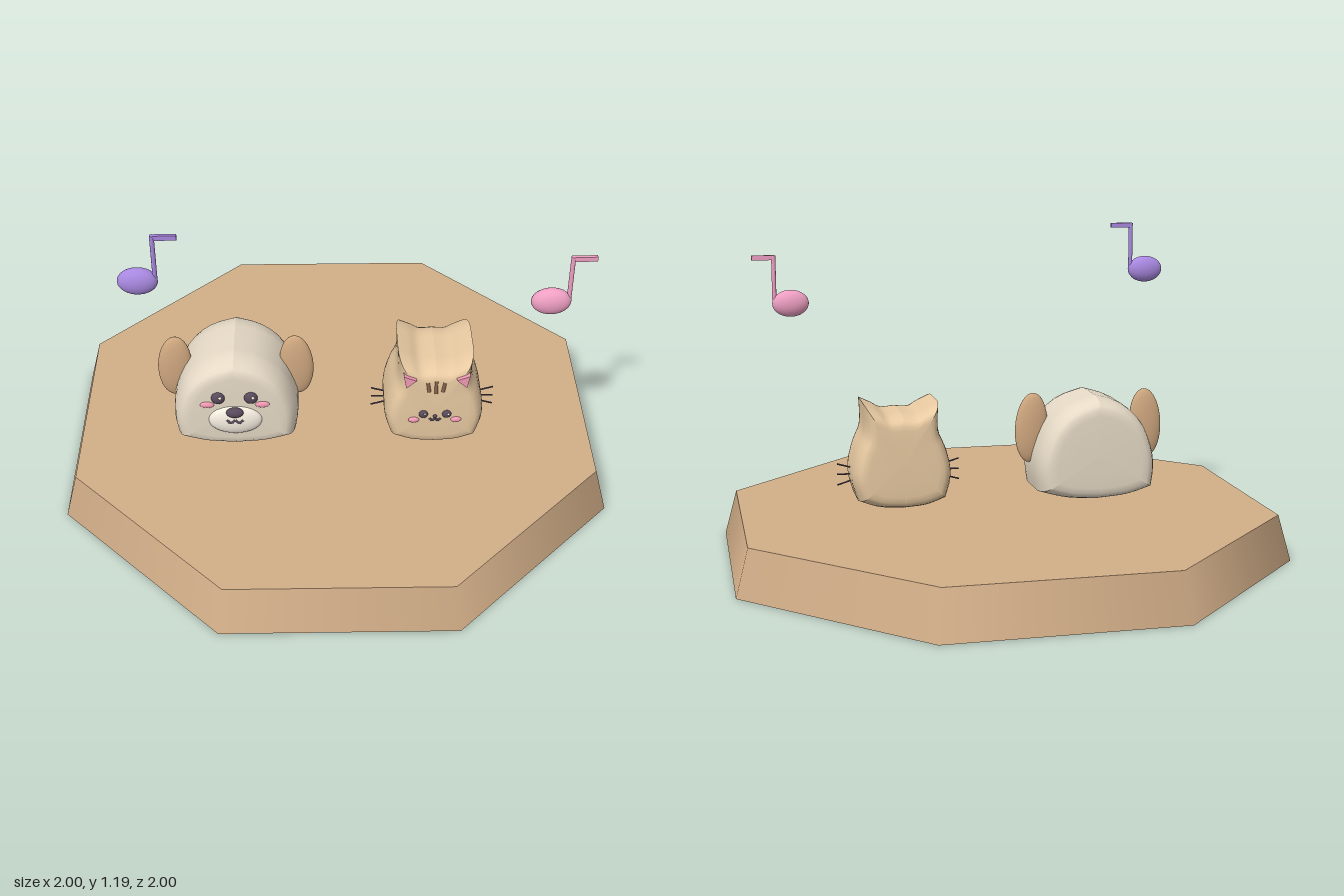
import * as THREE from 'three';

const mat = (color) => new THREE.MeshStandardMaterial({ color, side: THREE.DoubleSide });
const M = {
  wood: mat(0xd2ae88), cream: mat(0xe6dac6), tan: mat(0xd0a880), ginger: mat(0xe8caa2),
  brown: mat(0x8a6248), dark: mat(0x594a5c), white: mat(0xf7efe2),
  blush: mat(0xf29ab4), violet: mat(0xa888e0), pink: mat(0xf0a0c4),
};

function add(parent, name, geometry, material, x = 0, y = 0, z = 0) {
  const mesh = new THREE.Mesh(geometry, material);
  mesh.name = name;
  mesh.position.set(x, y, z);
  parent.add(mesh);
  return mesh;
}

function ellipsoid(parent, name, material, [x, y, z], [rx, ry, rz]) {
  const mesh = add(parent, name, new THREE.SphereGeometry(1, 28, 18), material, x, y, z);
  mesh.scale.set(rx, ry, rz);
  return mesh;
}

function tube(parent, name, material, points, radius) {
  const curve = new THREE.CatmullRomCurve3(points.map((p) => new THREE.Vector3(...p)));
  return add(parent, name, new THREE.TubeGeometry(curve, points.length * 4, radius, 8), material);
}

// Pillow body: an outline swept through depth, shrinking to a rounded front and back.
// The right half is a list of smooth runs, separated by sharp corners.
function pillow(runs, centreY, halfDepth) {
  const smooth = runs.map((run) =>
    run.length === 2
      ? run.map((p) => new THREE.Vector2(...p))
      : new THREE.SplineCurve(run.map((p) => new THREE.Vector2(...p))).getPoints(14));
  const mirrored = smooth.map((run) => run.map((p) => new THREE.Vector2(-p.x, p.y)).reverse()).reverse();
  const front = [[0.4, 1], [0.55, 0.99], [0.7, 0.965], [0.83, 0.925], [0.92, 0.875], [0.97, 0.81], [0.985, 0.7], [0.995, 0.4], [1, 0]];
  const profile = [...front.map(([z, s]) => [-z, s]).reverse(), ...front];
  const pos = [], index = [];
  for (const run of [...smooth, ...mirrored]) {
    const start = pos.length / 3, n = run.length;
    profile.forEach(([z, s], j) => {
      for (const p of run) pos.push(p.x * s, centreY + (p.y - centreY) * s, z * halfDepth);
      if (j === 0) return;
      for (let i = 0; i < n - 1; i++) {
        const c = start + j * n + i, a = c - n;
        index.push(a, a + 1, c + 1, a, c + 1, c);
      }
    });
  }
  const geometry = new THREE.BufferGeometry();
  geometry.setAttribute('position', new THREE.Float32BufferAttribute(pos, 3));
  geometry.setIndex(index);
  geometry.computeVertexNormals();
  return geometry;
}

// Two small curves below the nose
function mouth(parent, y, z, w) {
  for (const s of [-1, 1]) {
    tube(parent, 'mouth', M.dark, [[0, y, z], [s * w * 0.5, y - w * 0.45, z], [s * w, y, z]], 0.0045);
  }
}

function makeDog() {
  const dog = new THREE.Group();
  dog.name = 'dog';
  dog.position.set(-0.37, 0, 0.08);
  add(dog, 'dogBody', pillow([
    [[0, 0.17], [0.12, 0.18], [0.222, 0.208]],
    [[0.222, 0.208], [0.231, 0.28], [0.222, 0.36], [0.18, 0.46], [0.1, 0.533], [0, 0.567]],
  ], 0.35, 0.17), M.cream);
  for (const s of [-1, 1]) {
    const ear = ellipsoid(dog, 'dogEar', M.tan, [s * 0.226, 0.435, 0], [0.063, 0.134, 0.026]);
    ear.rotation.z = s * 0.06;
    ellipsoid(dog, 'dogEye', M.dark, [s * 0.06, 0.417, 0.17], [0.025, 0.025, 0.016]);
    ellipsoid(dog, 'eyeHighlight', M.white, [s * 0.06 + 0.008, 0.427, 0.184], [0.006, 0.006, 0.004]);
    ellipsoid(dog, 'dogCheek', M.blush, [s * 0.101, 0.384, 0.167], [0.027, 0.014, 0.01]);
  }
  ellipsoid(dog, 'muzzle', M.white, [0, 0.313, 0.165], [0.1, 0.065, 0.027]);
  ellipsoid(dog, 'dogNose', M.dark, [0, 0.36, 0.186], [0.032, 0.02, 0.018]);
  mouth(dog, 0.329, 0.192, 0.03);
  return dog;
}

function makeCat() {
  const cat = new THREE.Group();
  cat.name = 'cat';
  cat.position.set(0.365, 0, 0.093);
  // Outline with pointed ears that run on as ridges to the back
  add(cat, 'catBody', pillow([
    [[0, 0.17], [0.09, 0.178], [0.163, 0.203]],
    [[0.163, 0.203], [0.182, 0.27], [0.181, 0.33], [0.162, 0.4], [0.14, 0.45], [0.135, 0.5], [0.138, 0.565]],
    [[0.138, 0.565], [0.095, 0.545], [0.055, 0.524], [0, 0.527]],
  ], 0.35, 0.158), M.ginger);

  for (const s of [-1, 1]) {
    const triangle = new THREE.Shape([[-0.12, 0.517], [-0.073, 0.497], [-0.11, 0.463]].map(([x, y]) => new THREE.Vector2(-s * x, y)));
    add(cat, 'innerEar', new THREE.ExtrudeGeometry(triangle, { depth: 0.035, bevelEnabled: false }), M.blush, 0, 0, 0.135);
    ellipsoid(cat, 'catEye', M.dark, [s * 0.043, 0.331, 0.157], [0.017, 0.017, 0.012]);
    ellipsoid(cat, 'eyeHighlight', M.white, [s * 0.043 + 0.005, 0.338, 0.168], [0.004, 0.004, 0.003]);
    ellipsoid(cat, 'catCheek', M.blush, [s * 0.078, 0.304, 0.157], [0.02, 0.012, 0.009]);
    // Whiskers fan out from the cheeks
    for (const k of [-1, 0, 1]) {
      const y = 0.288 + k * 0.018;
      tube(cat, 'whisker', M.dark, [[s * 0.155, y, 0], [s * 0.23, y + k * 0.022, 0]], 0.003);
    }
    // Short marks on the flanks
    for (const y of [0.29, 0.322]) {
      tube(cat, 'flankMark', M.dark, [[s * 0.176, y, 0.075], [s * 0.173, y, 0.095]], 0.005);
    }
  }
  for (const k of [-1, 0, 1]) {
    const half = k ? 0.02 : 0.028;
    tube(cat, 'foreheadStripe', M.brown, [[k * 0.031, 0.456 + half, 0.15], [k * 0.025, 0.456 - half, 0.154]], 0.008);
  }
  ellipsoid(cat, 'catNose', M.dark, [0, 0.322, 0.16], [0.008, 0.006, 0.007]);
  mouth(cat, 0.312, 0.16, 0.02);
  return cat;
}

function makeNote(name, material, x, y) {
  const note = new THREE.Group();
  note.name = name;
  note.position.set(x, y, 0.333);
  ellipsoid(note, 'noteHead', material, [0, 0, 0], [0.069, 0.051, 0.033]);
  add(note, 'noteStem', new THREE.CylinderGeometry(0.008, 0.008, 0.18, 12), material, 0.06, 0.092, 0);
  add(note, 'noteFlag', new THREE.BoxGeometry(0.085, 0.018, 0.012), material, 0.099, 0.174, 0);
  return note;
}

export function createModel() {
  const model = new THREE.Group();
  model.name = 'animalDuet';

  // Octagonal base with sloping sides
  const k = 1 / Math.cos(Math.PI / 8);
  const base = add(model, 'base', new THREE.CylinderGeometry(0.955 * k, k, 0.17, 8), M.wood, 0, 0.085, 0);
  base.rotation.y = Math.PI / 8;

  model.add(makeDog(), makeCat());
  model.add(makeNote('violetNote', M.violet, -0.668, 1.003), makeNote('pinkNote', M.pink, 0.732, 0.903));
  return model;
}
